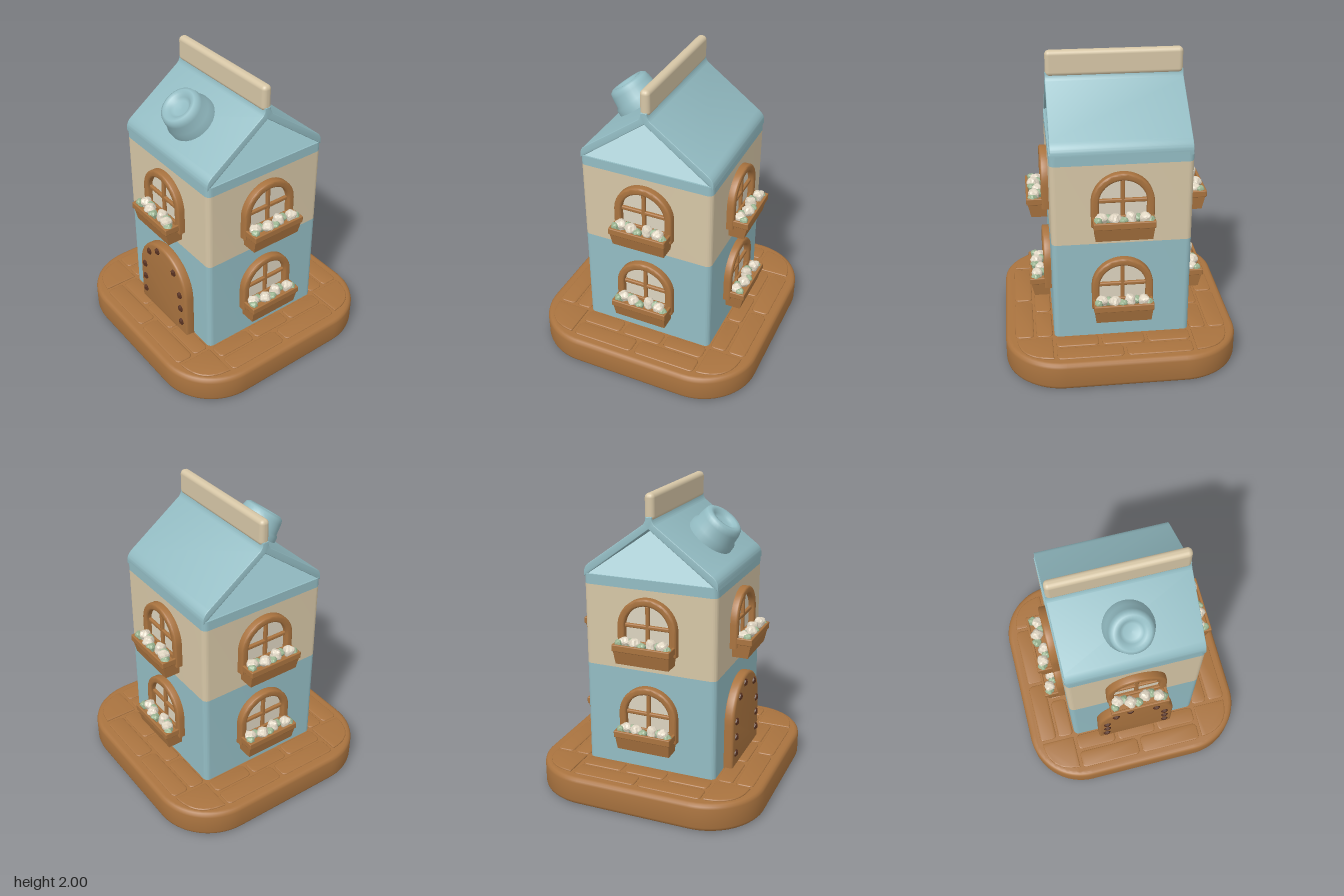
import * as THREE from 'three';
import { toCreasedNormals } from 'three/addons/utils/BufferGeometryUtils.js';
import { RoundedBoxGeometry } from 'three/addons/geometries/RoundedBoxGeometry.js';

const paint = (name, color) => {
  const m = new THREE.MeshStandardMaterial({ color });
  m.name = name;
  return m;
};
const blue = paint('carton blue', 0x93bcc3);
const cream = paint('carton cream', 0xd6c6a6);
const wood = paint('wood', 0xa9733f);
const darkWood = paint('door brown', 0x56301f);
const pane = paint('window pane', 0xdcd3bf);
const petal = paint('petal white', 0xdfd5c2);
const leaf = paint('leaf green', 0x9cb592);

const WALL = 0.445;

function add(parent, name, geometry, material, x = 0, y = 0, z = 0) {
  const mesh = new THREE.Mesh(geometry, material);
  mesh.name = name;
  mesh.position.set(x, y, z);
  parent.add(mesh);
  return mesh;
}

// Rectangle with rounded corners, centred on the origin
function roundedRect(hx, hy, r) {
  const s = new THREE.Shape();
  s.absarc(hx - r, hy - r, r, 0, Math.PI / 2);
  s.absarc(-hx + r, hy - r, r, Math.PI / 2, Math.PI);
  s.absarc(-hx + r, -hy + r, r, Math.PI, Math.PI * 1.5);
  s.absarc(hx - r, -hy + r, r, Math.PI * 1.5, Math.PI * 2);
  s.closePath();
  return s;
}

// Round-topped outline: arc of radius r about the origin, legs down to -drop
function arch(r, drop, Type = THREE.Shape) {
  const s = new Type();
  s.moveTo(r, -drop);
  s.lineTo(r, 0);
  s.absarc(0, 0, r, 0, Math.PI);
  s.lineTo(-r, -drop);
  s.closePath();
  return s;
}

// Extrusion from z = 0 to depth whose bevel stays inside the outline
function extrude(shape, depth, bevel = 0) {
  const g = new THREE.ExtrudeGeometry(shape, {
    depth: depth - 2 * bevel, curveSegments: 12, bevelEnabled: bevel > 0,
    bevelThickness: bevel, bevelSize: bevel, bevelOffset: -bevel, bevelSegments: 3,
  });
  g.translate(0, 0, bevel);
  return toCreasedNormals(g, 0.6);
}
const slab = (shape, height, bevel) => extrude(shape, height, bevel).rotateX(-Math.PI / 2);

// Rounded plinth with low paving stones
function makeBase() {
  const base = new THREE.Group();
  base.name = 'base';
  add(base, 'plinth', slab(roundedRect(0.765, 0.765, 0.38), 0.19, 0.03), wood);
  const corner = new THREE.Shape();
  corner.moveTo(0.46, 0.46);
  corner.lineTo(0.69, 0.46);
  corner.quadraticCurveTo(0.68, 0.68, 0.46, 0.69);
  corner.closePath();
  for (let side = 0; side < 4; side++) {
    const row = new THREE.Group();
    row.name = 'pavingSide';
    row.rotation.y = side * Math.PI / 2;
    base.add(row);
    add(row, 'cornerStone', slab(corner, 0.017, 0.007), wood, 0, 0.182, 0);
    for (const [x, z, hx, hz] of [[-0.3, 0.51, 0.14, 0.055], [0, 0.51, 0.14, 0.055], [0.3, 0.51, 0.14, 0.055],
      [-0.225, 0.64, 0.215, 0.06], [0.225, 0.64, 0.215, 0.06]])
      add(row, 'pavingStone', slab(roundedRect(hx, hz, 0.03), 0.015, 0.007), wood, x, 0.182, z);
  }
  return base;
}

// Carton walls, folded gable roof, top seam and cap
function makeCarton() {
  const carton = new THREE.Group();
  carton.name = 'carton';
  const wall = roundedRect(WALL, WALL, 0.035);
  add(carton, 'lowerWalls', slab(wall, 0.69), blue, 0, 0.18);
  add(carton, 'upperWalls', slab(wall, 0.535), cream, 0, 0.87);
  add(carton, 'eavesBand', slab(wall, 0.065), blue, 0, 1.405);

  // Two roof sheets as one bent profile
  const p = new THREE.Shape();
  p.moveTo(-WALL, 1.45);
  p.lineTo(-WALL, 1.475);
  p.quadraticCurveTo(-WALL, 1.515, -0.4, 1.545);
  p.lineTo(-0.04, 1.81);
  p.quadraticCurveTo(-0.02, 1.83, -0.02, 1.86);
  p.lineTo(0.02, 1.86);
  p.quadraticCurveTo(0.02, 1.83, 0.04, 1.81);
  p.lineTo(0.4, 1.545);
  p.quadraticCurveTo(WALL, 1.515, WALL, 1.475);
  p.lineTo(WALL, 1.45);
  p.lineTo(0.41, 1.475);
  p.lineTo(0, 1.785);
  p.lineTo(-0.41, 1.475);
  p.closePath();
  const sheets = extrude(p, 0.876, 0.004).translate(0, 0, -0.438).rotateY(Math.PI / 2);
  add(carton, 'roofSheets', sheets, blue);

  // Inner fold: gable ends lean inward to a short ridge
  const fold = new THREE.BoxGeometry(0.87, 0.315, 0.85).toNonIndexed();
  const v = fold.attributes.position;
  for (let i = 0; i < v.count; i++)
    if (v.getY(i) > 0) v.setXYZ(i, Math.sign(v.getX(i)) * 0.2, v.getY(i), Math.sign(v.getZ(i)) * 0.004);
  fold.computeVertexNormals();
  add(carton, 'gableFold', fold, blue, 0, 1.6275);

  add(carton, 'topSeam', new RoundedBoxGeometry(0.87, 0.165, 0.064, 3, 0.028), cream, 0, 1.9175, 0);

  // Screw cap with dished top, square to the front slope
  const profile = [[0, 0.125], [0.05, 0.128], [0.07, 0.14], [0.085, 0.16], [0.11, 0.163], [0.13, 0.15],
    [0.138, 0.12], [0.145, 0.055], [0.158, 0.04], [0.16, -0.03]]
    .reverse().map(([r, y]) => new THREE.Vector2(r, y));
  const cap = add(carton, 'cap', new THREE.LatheGeometry(profile, 32), blue, 0, 1.665, 0.235);
  cap.rotation.x = 0.65;
  return carton;
}

// Lumpy ball for blossoms and leaves
function blob(r, seed) {
  const g = new THREE.IcosahedronGeometry(r, 2);
  const v = g.attributes.position;
  for (let i = 0; i < v.count; i++) {
    const x = v.getX(i) / r, y = v.getY(i) / r, z = v.getZ(i) / r;
    const k = 1 + 0.14 * Math.sin(4 * x + seed) * Math.cos(4 * z + seed * 2) + 0.08 * Math.sin(5 * y + seed);
    v.setXYZ(i, x * r * k, y * r * k, z * r * k);
  }
  g.computeVertexNormals();
  return g;
}

// Arched window with flower box; origin at the arc centre on the wall
function makeWindow() {
  const w = new THREE.Group();
  w.name = 'window';
  const frame = arch(0.197, 0.16);
  frame.holes.push(arch(0.15, 0.13, THREE.Path));
  add(w, 'windowFrame', extrude(frame, 0.06, 0.012), wood, 0, 0, -0.012);
  add(w, 'windowPane', extrude(arch(0.158, 0.14), 0.008), pane, 0, 0, 0.002);
  add(w, 'uprightBar', new RoundedBoxGeometry(0.026, 0.3, 0.024, 2, 0.008), wood, 0, 0, 0.018);
  add(w, 'crossBar', new RoundedBoxGeometry(0.31, 0.026, 0.024, 2, 0.008), wood, 0, 0.01, 0.018);

  // Flower box, narrower at the foot, with a raised rim
  const box = new THREE.BoxGeometry(0.375, 0.105, 0.125).toNonIndexed();
  const v = box.attributes.position;
  for (let i = 0; i < v.count; i++)
    if (v.getY(i) < 0) v.setXYZ(i, v.getX(i) * 0.95, v.getY(i), v.getZ(i) > 0 ? 0.04 : v.getZ(i));
  box.computeVertexNormals();
  add(w, 'flowerBox', box, wood, 0, -0.167, 0.075);
  for (const z of [0.033, 0.135])
    add(w, 'boxRimLong', new RoundedBoxGeometry(0.385, 0.045, 0.018, 2, 0.006), wood, 0, -0.108, z);
  for (const x of [-0.184, 0.184])
    add(w, 'boxRimShort', new RoundedBoxGeometry(0.018, 0.045, 0.11, 2, 0.006), wood, x, -0.108, 0.084);

  [-0.135, -0.055, 0.045, 0.13].forEach((x, i) =>
    add(w, 'blossom', blob(0.038, i * 1.7), petal, x, -0.088 + 0.008 * (i % 2), 0.082 + 0.012 * (i % 2 ? 1 : -1)));
  [-0.16, -0.095, -0.005, 0.088, 0.16].forEach((x, i) =>
    add(w, 'leaves', blob(0.029, i + 4), leaf, x, -0.092, 0.084 + 0.02 * (i % 2 ? -1 : 1)));
  return w;
}

// Arched door with studded surround; origin at the arc centre on the wall
function makeDoor() {
  const d = new THREE.Group();
  d.name = 'door';
  const frame = arch(0.27, 0.315);
  frame.holes.push(arch(0.15, 0.32 - 0.006, THREE.Path));
  add(d, 'doorSurround', extrude(frame, 0.075, 0.018), wood, 0, 0, -0.012);
  add(d, 'doorPanel', extrude(arch(0.165, 0.315), 0.03), darkWood, 0, 0, -0.004);
  add(d, 'doorWindow', extrude(arch(0.088, 0.0), 0.006), pane, 0, -0.01, 0.024);
  add(d, 'doorKnob', new THREE.SphereGeometry(0.02, 16, 10), wood, 0.1, -0.1, 0.036);
  for (const [x, y] of [[-0.045, 0.22], [-0.145, 0.16], [0.14, 0.16], [-0.21, 0.01], [0.205, 0.01],
    [-0.21, -0.1], [0.21, -0.1], [-0.215, -0.215], [0.215, -0.215]]) {
    const stud = add(d, 'stud', new THREE.DodecahedronGeometry(0.027, 0), darkWood, x, y, 0.062);
    stud.scale.z = 0.7;
  }
  return d;
}

export function createModel() {
  const model = new THREE.Group();
  model.name = 'cartonHouse';
  model.add(makeBase(), makeCarton());

  // Windows on both floors of every side; the door takes the front ground floor
  for (let side = 0; side < 4; side++) {
    const face = new THREE.Group();
    face.name = ['front', 'left', 'back', 'right'][side] + 'Side';
    face.rotation.y = side * Math.PI / 2;
    model.add(face);
    for (const y of [0.575, 1.165]) {
      const part = side === 0 && y < 1 ? makeDoor() : makeWindow();
      part.position.set(0, part.name === 'door' ? 0.503 : y, WALL);
      face.add(part);
    }
  }
  return model;
}
